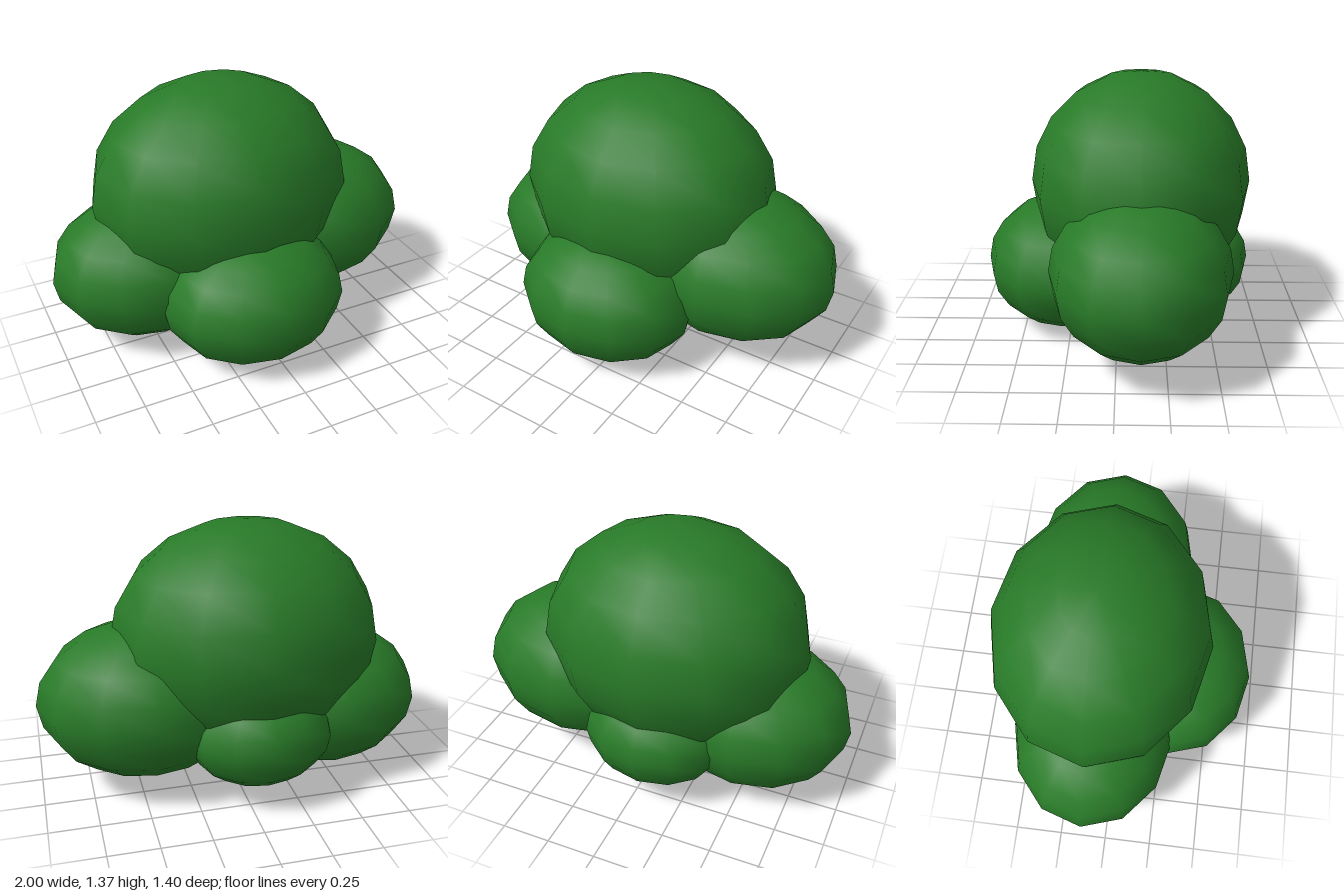
import * as THREE from 'three';

export function createModel() {
  const bush = new THREE.Group();
  bush.name = 'bush';
  const leafGreen = new THREE.MeshStandardMaterial({ color: 0x287a28 });
  leafGreen.name = 'leafGreen';

  // One coarse, smooth-shaded ball shared by every clump
  const ball = new THREE.SphereGeometry(1, 12, 10);

  // name, centre, radii
  const clumps = [
    ['crownClump', [-0.07, 0.79, -0.12], [0.69, 0.58, 0.575]],
    ['leftClump', [0.445, 0.49, -0.12], [0.555, 0.4, 0.45]],
    ['rightClump', [-0.5, 0.41, -0.12], [0.5, 0.37, 0.425]],
    ['frontClump', [-0.07, 0.347, 0.29], [0.48, 0.347, 0.41]],
    ['backClump', [-0.07, 0.36, -0.39], [0.375, 0.27, 0.31]],
  ];
  for (const [name, centre, radii] of clumps) {
    const clump = new THREE.Mesh(ball, leafGreen);
    clump.name = name;
    clump.position.set(...centre);
    clump.scale.set(...radii);
    bush.add(clump);
  }
  return bush;
}
